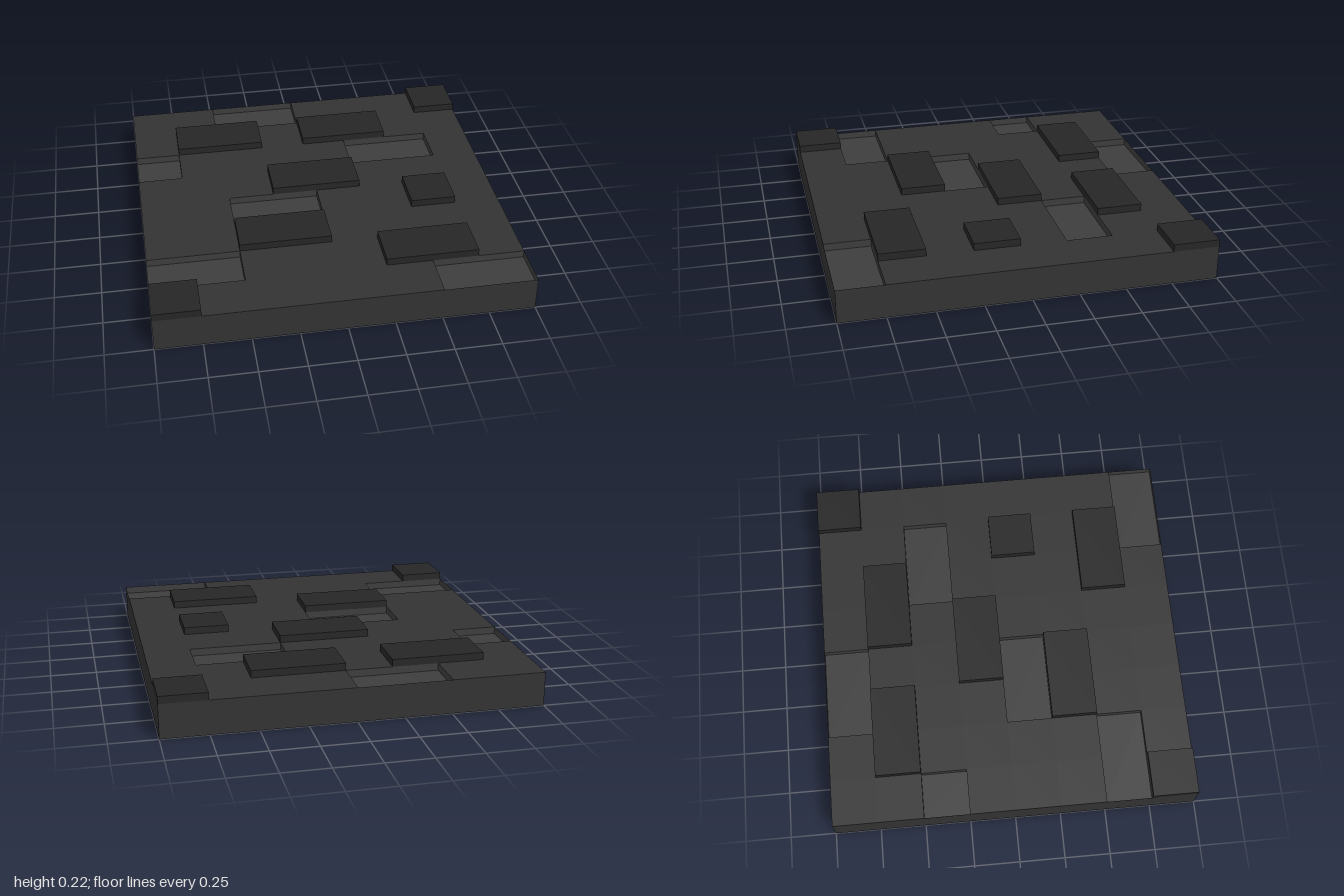
import * as THREE from 'three';
import { mergeGeometries } from 'three/addons/utils/BufferGeometryUtils.js';

const TOP = 0.185, STEP = 0.04, CELL = 0.25;

// Brick footprints in grid cells: column, row, columns wide
const RAISED = [[7, 0, 1], [1, 1, 2], [4, 1, 2], [3, 3, 2], [6, 4, 1], [2, 5, 2], [5, 6, 2], [0, 7, 1]];
const SUNKEN = [[2, 0, 2], [0, 2, 1], [5, 2, 2], [2, 4, 2], [0, 6, 2], [6, 7, 2]];

const material = (color) => new THREE.MeshStandardMaterial({ color });

// Box without its top face; inward turns its faces to the inside
function openBox(w, h, d, inward = false) {
  const g = new THREE.BoxGeometry(w, h, d);
  const index = Array.from(g.index.array).filter((_, i) => i < 12 || i >= 18);
  g.clearGroups();
  if (inward) {
    index.reverse();
    const n = g.attributes.normal;
    for (let i = 0; i < n.count; i++) n.setXYZ(i, -n.getX(i), -n.getY(i), -n.getZ(i));
  }
  g.setIndex(index);
  return g;
}

export function createModel() {
  const group = new THREE.Group();
  const add = (name, geometry, mat, x, y, z) => {
    const mesh = new THREE.Mesh(geometry, mat);
    mesh.name = name;
    mesh.position.set(x, y, z);
    group.add(mesh);
  };
  const stone = material(0x333333), dark = material(0x262626), light = material(0x3d3d3d);
  const centre = (start, count) => -1 + (start + count / 2) * CELL;

  // Slab sides and underside
  add('slab', openBox(2, TOP, 2), stone, 0, TOP / 2, 0);

  // Top surface, left open above the sunken bricks
  const cells = [];
  for (let r = 0; r < 8; r++) {
    for (let c = 0; c < 8; c++) {
      if (SUNKEN.some(([sc, sr, n]) => r === sr && c >= sc && c < sc + n)) continue;
      cells.push(new THREE.PlaneGeometry(CELL, CELL).rotateX(-Math.PI / 2)
        .translate(centre(c, 1), 0, centre(r, 1)));
    }
  }
  add('slabTop', mergeGeometries(cells), stone, 0, TOP, 0);

  // Sunken bricks: shallow pockets seen from inside
  SUNKEN.forEach(([c, r, n]) => add('sunkenBrick', openBox(n * CELL, STEP, CELL, true), light,
    centre(c, n), TOP - STEP / 2, centre(r, 1)));

  // Raised bricks
  RAISED.forEach(([c, r, n]) => add('raisedBrick', new THREE.BoxGeometry(n * CELL, STEP, CELL), dark,
    centre(c, n), TOP + STEP / 2, centre(r, 1)));

  return group;
}
